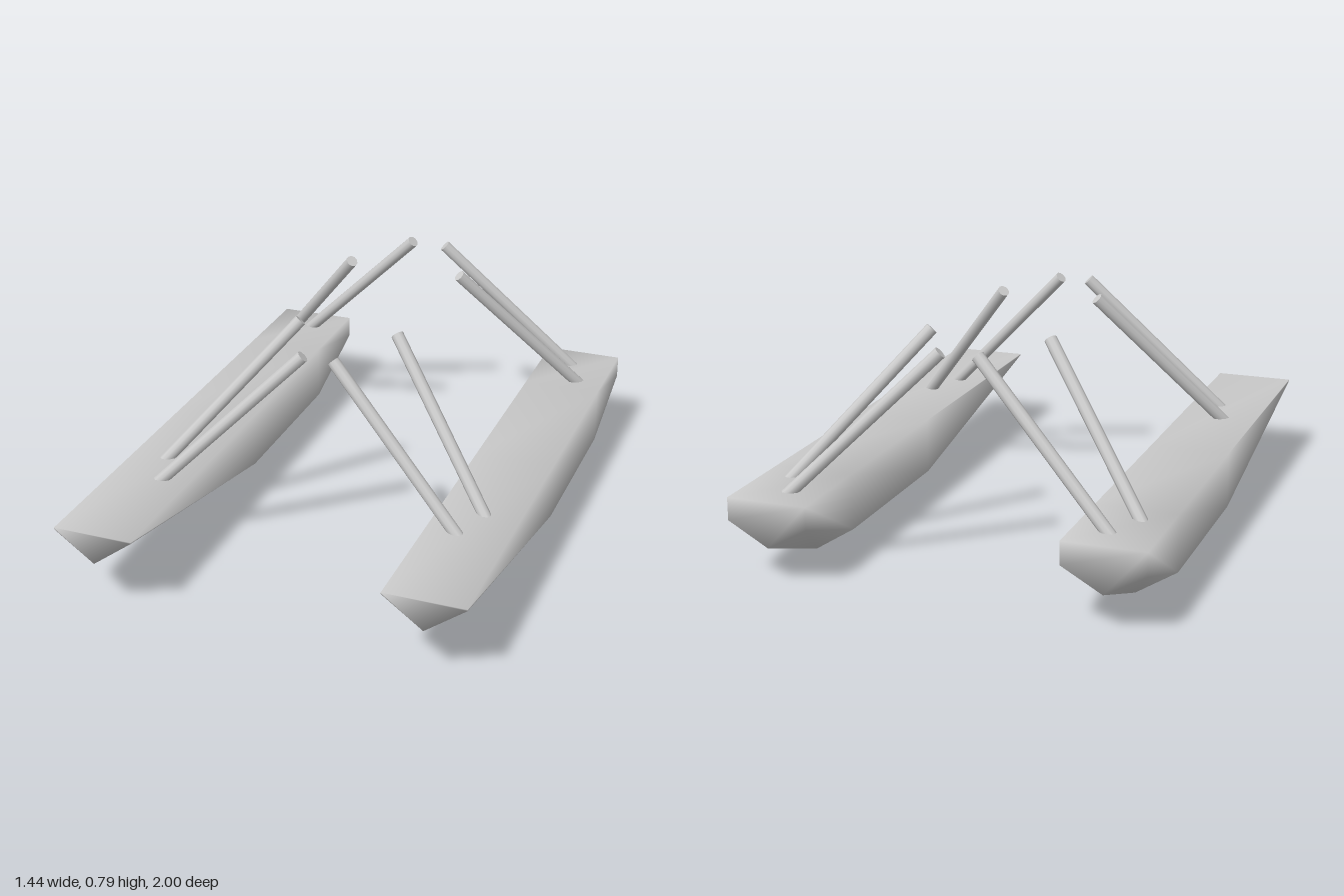
import * as THREE from 'three';

const material = new THREE.MeshStandardMaterial({ color: 0xcccccc });
const HALF_WIDTH = 0.142, DECK = 0.29, HULL_X = 0.577;

// Five-sided hull lofted through stations of [z, chine height, keel height]
function hullGeometry() {
  const stations = [[1, 0.285, 0.18], [0, 0.09, 0], [-0.65, 0.09, 0], [-1, 0.21, 0.13]];
  const positions = [], index = [], n = 5;
  for (const [z, chine, keel] of stations) {
    positions.push(
      -HALF_WIDTH, DECK, z, -HALF_WIDTH, chine, z, 0, keel, z,
      HALF_WIDTH, chine, z, HALF_WIDTH, DECK, z);
  }
  for (let i = 0; i < stations.length - 1; i++) {
    for (let j = 0; j < n; j++) {
      const a = i * n + j, b = i * n + (j + 1) % n;
      index.push(a, a + n, b, b, a + n, b + n);
    }
  }
  // bow and stern caps
  const last = (stations.length - 1) * n;
  for (let j = 1; j < n - 1; j++) {
    index.push(0, j, j + 1);
    index.push(last, last + j + 1, last + j);
  }
  const geometry = new THREE.BufferGeometry();
  geometry.setAttribute('position', new THREE.Float32BufferAttribute(positions, 3));
  geometry.setIndex(index);
  geometry.computeVertexNormals();
  return geometry;
}

// Round bar between two points
function strut(from, to) {
  const axis = to.clone().sub(from);
  const mesh = new THREE.Mesh(new THREE.CylinderGeometry(0.022, 0.022, axis.length(), 10), material);
  mesh.position.copy(from).addScaledVector(axis, 0.5);
  mesh.quaternion.setFromUnitVectors(new THREE.Vector3(0, 1, 0), axis.normalize());
  return mesh;
}

export function createModel() {
  const model = new THREE.Group();
  model.name = 'floats';

  // name, foot x, foot z, top x, top z
  const struts = [
    ['frontOuterStrut', 0.55, 0.565, 0.055, 0.425],
    ['frontInnerStrut', 0.6, 0.415, 0.18, 0.14],
    ['rearInnerStrut', 0.625, -0.74, 0.213, -0.455],
    ['rearOuterStrut', 0.565, -0.88, 0.065, -0.735],
  ];
  const hull = hullGeometry();

  for (const [side, s] of [['left', 1], ['right', -1]]) {
    const float = new THREE.Group();
    float.name = side + 'Float';

    const body = new THREE.Mesh(hull, material);
    body.name = side + 'Hull';
    body.position.x = s * HULL_X;
    float.add(body);

    // bars leaning in from the deck
    for (const [name, fx, fz, tx, tz] of struts) {
      const bar = strut(new THREE.Vector3(s * fx, 0.275, fz), new THREE.Vector3(s * tx, 0.775, tz));
      bar.name = side + name[0].toUpperCase() + name.slice(1);
      float.add(bar);
    }
    model.add(float);
  }
  return model;
}
